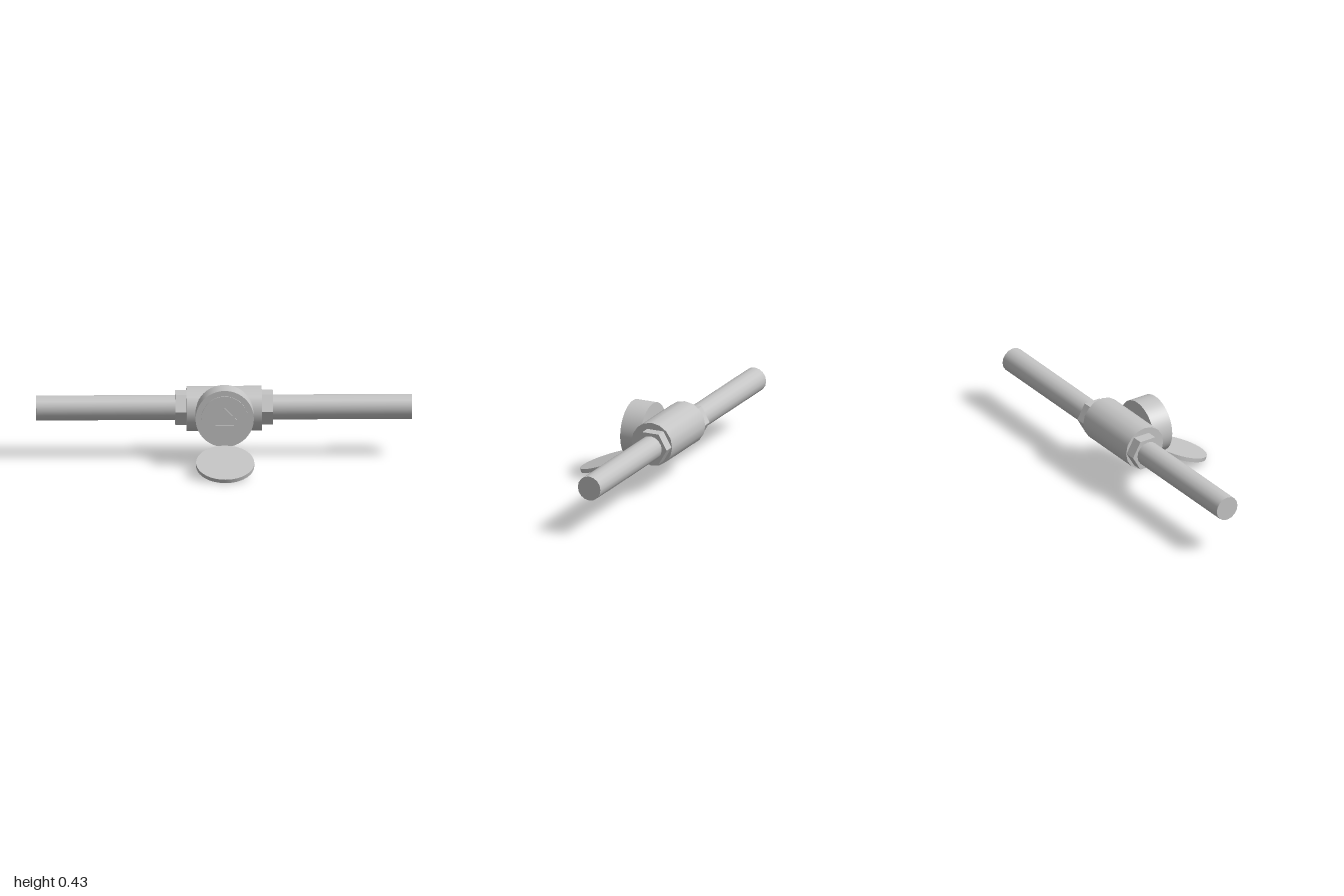
import * as THREE from 'three';
import { toCreasedNormals } from 'three/addons/utils/BufferGeometryUtils.js';

export function createModel() {
  const model = new THREE.Group();
  const grey = new THREE.MeshStandardMaterial({ color: 0xc4c4c4 });
  grey.name = 'grey metal';
  const Y = 0.275; // height of the pipe axis

  const add = (name, geometry, x, y, z) => {
    const mesh = new THREE.Mesh(geometry, grey);
    mesh.name = name;
    mesh.position.set(x, y, z);
    model.add(mesh);
    return mesh;
  };
  const alongX = (r, length, sides) =>
    new THREE.CylinderGeometry(r, r, length, sides).rotateZ(Math.PI / 2);
  const alongZ = (r, length) =>
    new THREE.CylinderGeometry(r, r, length, 64).rotateX(Math.PI / 2);

  // Meter body on the pipe line
  add('body', alongX(0.12, 0.4, 16), 0, Y, -0.193);

  // Hexagonal nut and pipe on each side
  for (const [side, label] of [[1, 'left'], [-1, 'right']]) {
    const hex = toCreasedNormals(alongX(0.096, 0.06, 6), 0.5);
    add(label + 'Nut', hex, side * 0.23, Y, -0.214);
    add(label + 'Pipe', alongX(0.067, 0.74, 16), side * 0.63, Y, -0.214);
  }

  // Round register head with its dial
  add('head', alongZ(0.155, 0.119), 0, Y, -0.0425);
  add('dial', alongZ(0.125, 0.012), 0, Y, 0.017);

  // Needle and counter window raised from the dial
  const needle = add('needle', new THREE.BoxGeometry(0.093, 0.013, 0.009), 0.028, 0.2995, 0.0265);
  needle.rotation.z = -Math.PI / 4;
  add('counter', new THREE.BoxGeometry(0.1, 0.03, 0.008), 0, 0.225, 0.025);

  // Open lid tilted forward below the head
  const lid = add('lid', new THREE.CylinderGeometry(0.155, 0.155, 0.022, 64), 0, 0.066, 0.164);
  lid.rotation.x = THREE.MathUtils.degToRad(20);

  return model;
}
